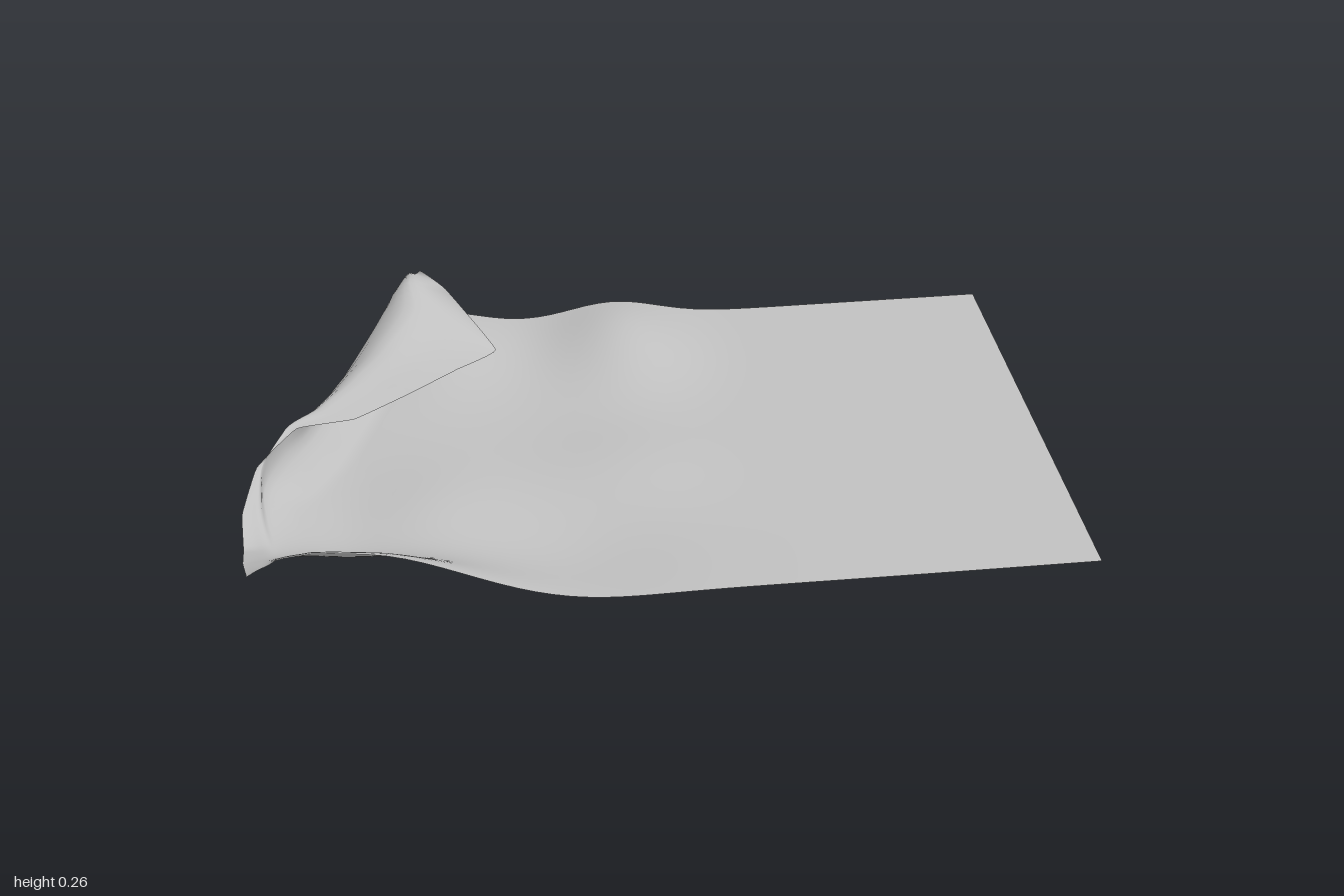
import * as THREE from 'three';

const V = (x, y, z) => new THREE.Vector3(x, y, z);
const bump = (x, z, cx, cz, sx, sz, a) => a * Math.exp(-(((x - cx) / sx) ** 2) - ((z - cz) / sz) ** 2);

// Height of the lying part of the cloth: flat on the right, rippled on the left
function height(x, z) {
  return 0.028
    + bump(x, z, -0.76, 0.66, 0.34, 0.15, 0.155)  // raised front left edge
    + bump(x, z, 0.0, -0.5, 0.17, 0.26, 0.07)     // wrinkle at the back
    + bump(x, z, -0.48, -0.55, 0.17, 0.25, 0.06)  // swell beneath the flap
    + bump(x, z, -0.05, 0.1, 0.2, 0.2, 0.02)
    + bump(x, z, -0.55, 0.25, 0.15, 0.2, 0.02)
    + bump(x, z, -0.22, 0.45, 0.22, 0.25, -0.026)
    + 0.04 * THREE.MathUtils.smoothstep(-x, 0.72, 1);
}

// Stations from front to back: [right edge z, fold x, fold z, ridge y, free edge x, y, z]
const stations = [
  [0.665, -0.92, 0.635, 0.165, -0.99, 0.14, 0.64],
  [0.55, -0.92, 0.54, 0.115, -1.0, 0.11, 0.54],
  [0.43, -0.92, 0.43, 0.075, -1.0, 0.075, 0.43],
  [0.33, -0.94, 0.32, 0.1, -1.0, 0.11, 0.33],
  [0.22, -0.945, 0.22, 0.16, -0.96, 0.17, 0.22],
  [0.12, -0.9, 0.12, 0.21, -0.86, 0.21, 0.12],
  [0.0, -0.84, 0.0, 0.205, -0.72, 0.19, 0.06],
  [-0.13, -0.79, -0.13, 0.2, -0.58, 0.175, -0.07],
  [-0.28, -0.73, -0.28, 0.2, -0.45, 0.15, -0.22],
  [-0.42, -0.665, -0.42, 0.225, -0.34, 0.115, -0.37],
  [-0.54, -0.6, -0.53, 0.26, -0.46, 0.25, -0.47],
  [-0.62, -0.555, -0.61, 0.23, -0.52, 0.265, -0.55],
  [-0.665, -0.51, -0.66, 0.13, -0.5, 0.15, -0.65],
];

const BASE = 44, CURL = 16, STEP = 6;

// One strip of cloth: across the ground, up around the fold and over to the free edge
function section(edge, fold, free) {
  const points = [];
  const inX = fold.x + 0.08;
  for (let i = 0; i < BASE; i++) {
    const t = i / BASE;
    const x = 1 + (inX - 1) * t;
    const z = edge.x + (fold.z - edge.x) * t ** 3;
    points.push(V(x, height(x, z), z));
  }
  const y0 = height(inX, fold.z);
  const ridge = fold.y;
  const over = (k, y) => V(fold.x + (free.x - fold.x) * k, y, fold.z + (free.z - fold.z) * k);
  const curl = new THREE.CatmullRomCurve3([
    V(inX, y0, fold.z),
    over(0, (y0 + ridge) / 2),
    over(0.28, ridge),
    over(0.66, ridge + (free.y - ridge) * 0.45),
    free,
  ], false, 'centripetal');
  return points.concat(curl.getPoints(CURL));
}

function clothGeometry() {
  const spline = (list, tension) => new THREE.CatmullRomCurve3(list, false, 'catmullrom', tension);
  const edges = spline(stations.map(s => V(s[0], 0, 0)), 0.5);
  const folds = spline(stations.map(s => V(s[1], s[3], s[2])), 0.5);
  const frees = spline(stations.map(s => V(s[4], s[5], s[6])), 0.15); // keeps the flap tip sharp
  const rows = (stations.length - 1) * STEP, cols = BASE + CURL + 1;
  const position = [], index = [];
  for (let r = 0; r <= rows; r++) {
    const t = r / rows;
    for (const p of section(edges.getPoint(t), folds.getPoint(t), frees.getPoint(t))) {
      position.push(p.x, Math.max(p.y, 0), p.z);
    }
  }
  for (let r = 0; r < rows; r++) {
    for (let c = 0; c < cols - 1; c++) {
      const a = r * cols + c, b = a + 1, d = a + cols, e = d + 1;
      index.push(a, d, b, b, d, e);
    }
  }
  const geometry = new THREE.BufferGeometry();
  geometry.setAttribute('position', new THREE.Float32BufferAttribute(position, 3));
  geometry.setIndex(index);
  geometry.computeVertexNormals();
  return geometry;
}

export function createModel() {
  const group = new THREE.Group();
  group.name = 'foldedCloth';
  const grey = new THREE.MeshStandardMaterial({ color: 0xc0c0c0, side: THREE.DoubleSide });
  grey.name = 'light grey';
  const cloth = new THREE.Mesh(clothGeometry(), grey);
  cloth.name = 'clothSheet';
  group.add(cloth);
  return group;
}
